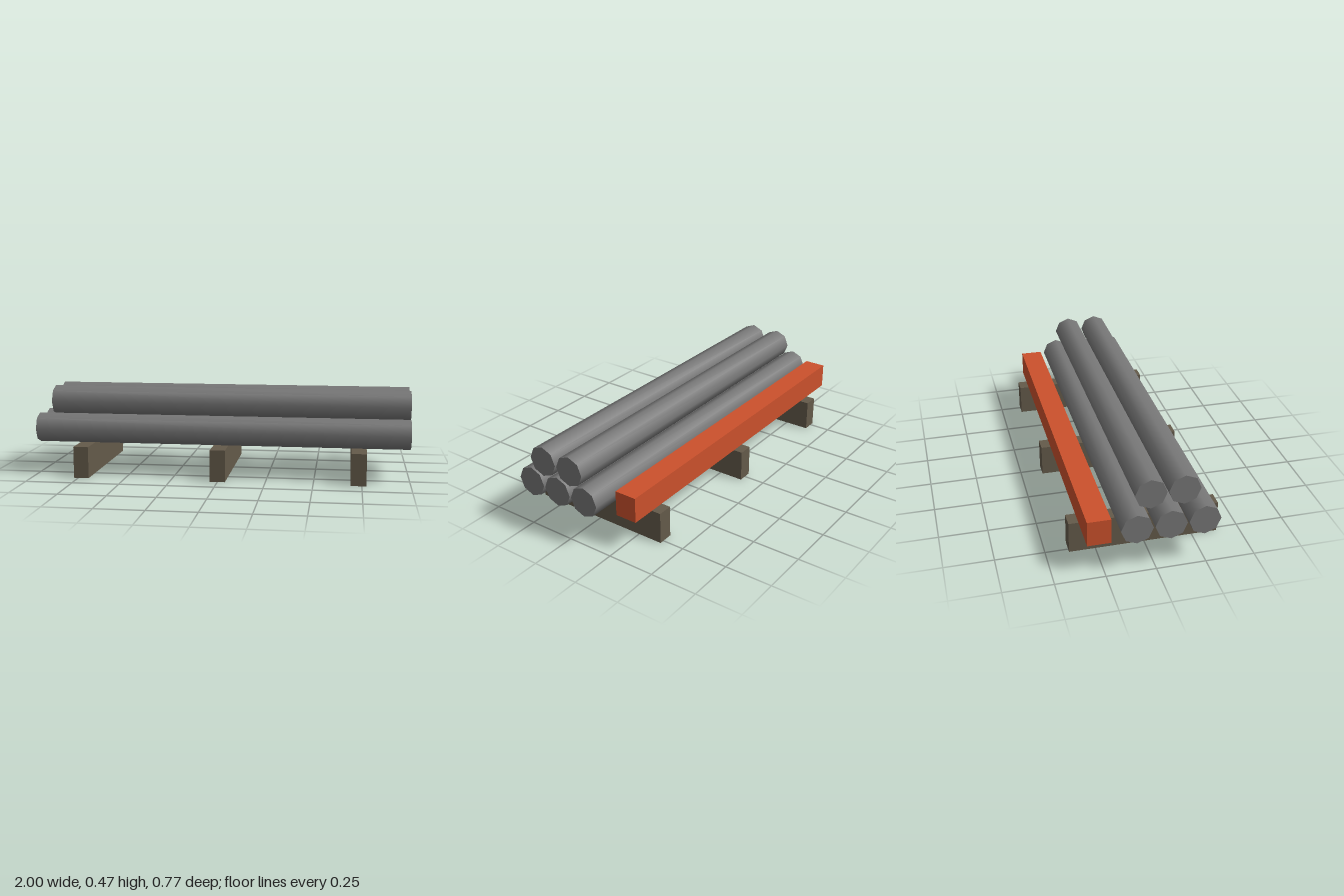
import * as THREE from 'three';

const mat = (name, color) => Object.assign(new THREE.MeshStandardMaterial({ color }), { name });

export function createModel() {
  const steel = mat('pipe grey', 0x767676);
  const wood = mat('timber brown', 0x645a4a);
  const paint = mat('beam orange', 0xcb512c);
  const group = new THREE.Group();
  group.name = 'pipeStack';

  const add = (name, geometry, material, x, y, z) => {
    const mesh = new THREE.Mesh(geometry, material);
    mesh.name = name;
    mesh.position.set(x, y, z);
    group.add(mesh);
  };

  // Timber bearers lying front to back
  const bearer = new THREE.BoxGeometry(0.08, 0.168, 0.767);
  [-0.733, 0, 0.733].forEach((x, i) => add(`bearer${i + 1}`, bearer, wood, x, 0.084, 0));

  // Eight-sided pipes along x, flush at the left end
  const addRow = (name, length, y, zs) => {
    const pipe = new THREE.CylinderGeometry(0.0795, 0.0795, length, 8).rotateZ(Math.PI / 2);
    zs.forEach((z, i) => add(`${name}${i + 1}`, pipe, steel, 1 - length / 2, y, z));
  };
  addRow('lowerPipe', 2, 0.2475, [0.235, 0.068, -0.099]);
  addRow('upperPipe', 1.933, 0.388, [0.151, -0.016]);

  // Painted beam beside the pipes
  add('orangeBeam', new THREE.BoxGeometry(1.867, 0.134, 0.117), paint, -0.033, 0.235, -0.275);

  return group;
}
